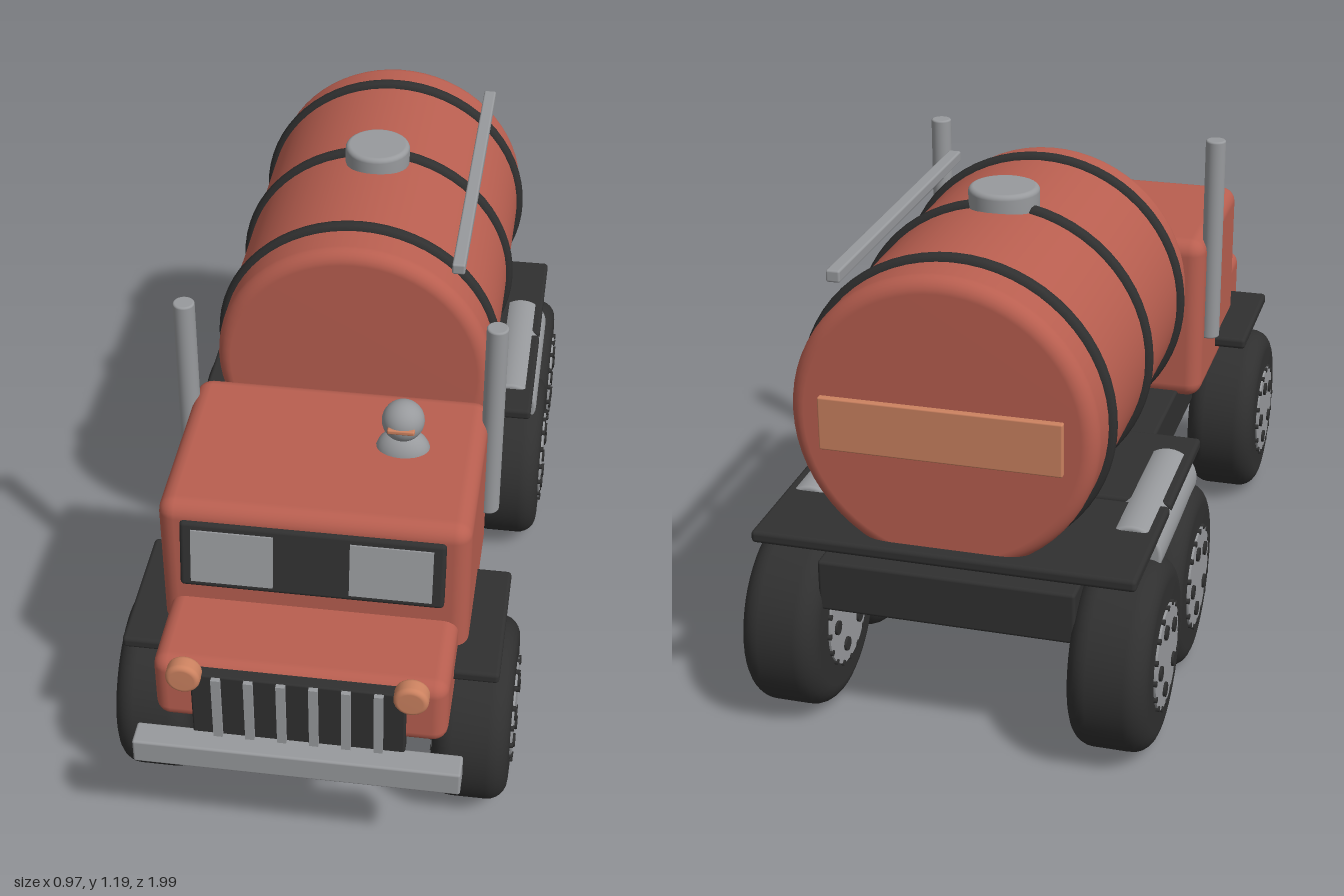
import * as THREE from 'three';
import { RoundedBoxGeometry } from 'three/addons/geometries/RoundedBoxGeometry.js';

const mat = (name, color) => {
  const m = new THREE.MeshStandardMaterial({ color });
  m.name = name;
  return m;
};

export function createModel() {
  const truck = new THREE.Group();
  truck.name = 'tankerTruck';
  const red = mat('red paint', 0xb95f50);
  const dark = mat('dark rubber', 0x303030);
  const grey = mat('grey metal', 0x989a9d);
  const orange = mat('orange lamp', 0xcc8260);

  const add = (name, geo, m, x = 0, y = 0, z = 0, parent = truck) => {
    const mesh = new THREE.Mesh(geo, m);
    mesh.name = name;
    mesh.position.set(x, y, z);
    parent.add(mesh);
    return mesh;
  };
  // Rounded box given by its ranges on each axis
  const block = (name, m, [x0, x1], [y0, y1], [z0, z1], r = 0.01, parent = truck) =>
    add(name, new RoundedBoxGeometry(x1 - x0, y1 - y0, z1 - z0, 3, r), m,
      (x0 + x1) / 2, (y0 + y1) / 2, (z0 + z1) / 2, parent);
  // Lathed disc or drum with rounded rims, closed at both ends, axis on y
  const drum = (radius, length, round, segments) => {
    const pts = [new THREE.Vector2(0, -length / 2)];
    for (const s of [-1, 1]) {
      for (let i = 0; i <= 6; i++) {
        const a = (s < 0 ? -1 + i / 6 : i / 6) * Math.PI / 2;
        pts.push(new THREE.Vector2(radius - round + round * Math.cos(a),
          s * (length / 2 - round) + round * Math.sin(a)));
      }
    }
    pts.push(new THREE.Vector2(0, length / 2));
    return new THREE.LatheGeometry(pts, segments);
  };

  // Chassis, cab and hood
  block('chassis', dark, [-0.3, 0.3], [0.315, 0.44], [-0.92, 0.62], 0.008);
  block('cab', red, [-0.36, 0.36], [0.42, 0.865], [0.195, 0.7], 0.04);
  block('hood', red, [-0.338, 0.338], [0.41, 0.592], [0.6, 0.92], 0.035);

  // Sloping windscreen with two panes
  const windscreen = new THREE.Group();
  windscreen.name = 'windscreen';
  windscreen.position.set(0, 0.742, 0.708);
  windscreen.rotation.x = -0.16;
  truck.add(windscreen);
  block('windscreenFrame', dark, [-0.305, 0.305], [-0.085, 0.085], [-0.016, 0.016], 0.01, windscreen);
  for (const s of [-1, 1])
    add('windowPane', new THREE.BoxGeometry(0.19, 0.135, 0.008), grey, s * 0.183, 0, 0.017, windscreen);

  // Grille, bars, headlights and bumper
  block('grille', dark, [-0.245, 0.245], [0.39, 0.58], [0.9, 0.94], 0.005);
  for (let i = 0; i < 6; i++)
    add('grilleBar', new THREE.BoxGeometry(0.021, 0.185, 0.016), grey, -0.185 + i * 0.074, 0.485, 0.943);
  block('bumper', grey, [-0.378, 0.378], [0.335, 0.4], [0.93, 0.994], 0.006);
  for (const s of [-1, 1]) {
    const lamp = add('headlight', drum(0.04, 0.045, 0.012, 28), orange, s * 0.258, 0.58, 0.94);
    lamp.rotation.x = Math.PI / 2;
    add('exhaustStack', drum(0.026, 0.545, 0.005, 24), grey, s * 0.37, 0.853, 0.27);
    const sideTank = add('sideTank', drum(0.07, 0.42, 0.008, 32), grey, s * 0.384, 0.455, -0.525);
    sideTank.rotation.x = Math.PI / 2;
  }

  // Roof dome with a visor
  add('roofDomeBase', new THREE.SphereGeometry(0.065, 24, 16), grey, 0.17, 0.853, 0.41).scale.set(1, 0.9, 0.75);
  add('roofDome', new THREE.SphereGeometry(0.05, 28, 20), grey, 0.17, 0.945, 0.415);
  block('visorStrip', orange, [0.138, 0.202], [0.939, 0.951], [0.445, 0.467], 0.004);

  // Water tank, straps, hatch, rail and rear panel
  const tankY = 0.803;
  add('tank', drum(0.348, 0.97, 0.035, 64), red, 0, tankY, -0.435).rotation.x = Math.PI / 2;
  for (const z of [-0.07, -0.435, -0.8])
    add('tankStrap', new THREE.TorusGeometry(0.346, 0.018, 10, 64), dark, 0, tankY, z);
  add('hatch', drum(0.083, 0.06, 0.012, 32), grey, 0, 1.162, -0.41);
  block('tankRail', grey, [0.238, 0.27], [1.095, 1.123], [-0.86, 0.02], 0.005);
  block('rearPanel', orange, [-0.275, 0.275], [0.73, 0.855], [-0.934, -0.915], 0.004);

  // Wheels with a fender plate above each axle
  const tyreGeo = drum(0.225, 0.184, 0.05, 48);
  const hubGeo = new THREE.CylinderGeometry(0.124, 0.124, 0.194, 24);
  const boltGeo = new THREE.CylinderGeometry(0.017, 0.017, 0.206, 12);
  const studGeo = new THREE.CylinderGeometry(0.007, 0.007, 0.2, 8);
  for (const z of [0.6, -0.4, -0.772]) {
    block('fender', dark, [-0.443, 0.443], [0.484, 0.514], [z - 0.181, z + 0.181], 0.01);
    for (const s of [-1, 1]) {
      const wheel = new THREE.Group();
      wheel.name = 'wheel';
      wheel.position.set(s * 0.383, 0.228, z);
      wheel.rotation.z = Math.PI / 2;
      truck.add(wheel);
      add('tyre', tyreGeo, dark, 0, 0, 0, wheel);
      add('hub', hubGeo, grey, 0, 0, 0, wheel);
      for (let i = 0; i < 5; i++) {
        const a = i / 5 * Math.PI * 2;
        add('wheelBolt', boltGeo, dark, 0.078 * Math.sin(a), 0, -0.078 * Math.cos(a), wheel);
      }
      for (let i = 0; i < 16; i++) {
        const a = i / 16 * Math.PI * 2;
        add('rimStud', studGeo, dark, 0.123 * Math.sin(a), 0, 0.123 * Math.cos(a), wheel);
      }
    }
  }
  return truck;
}
